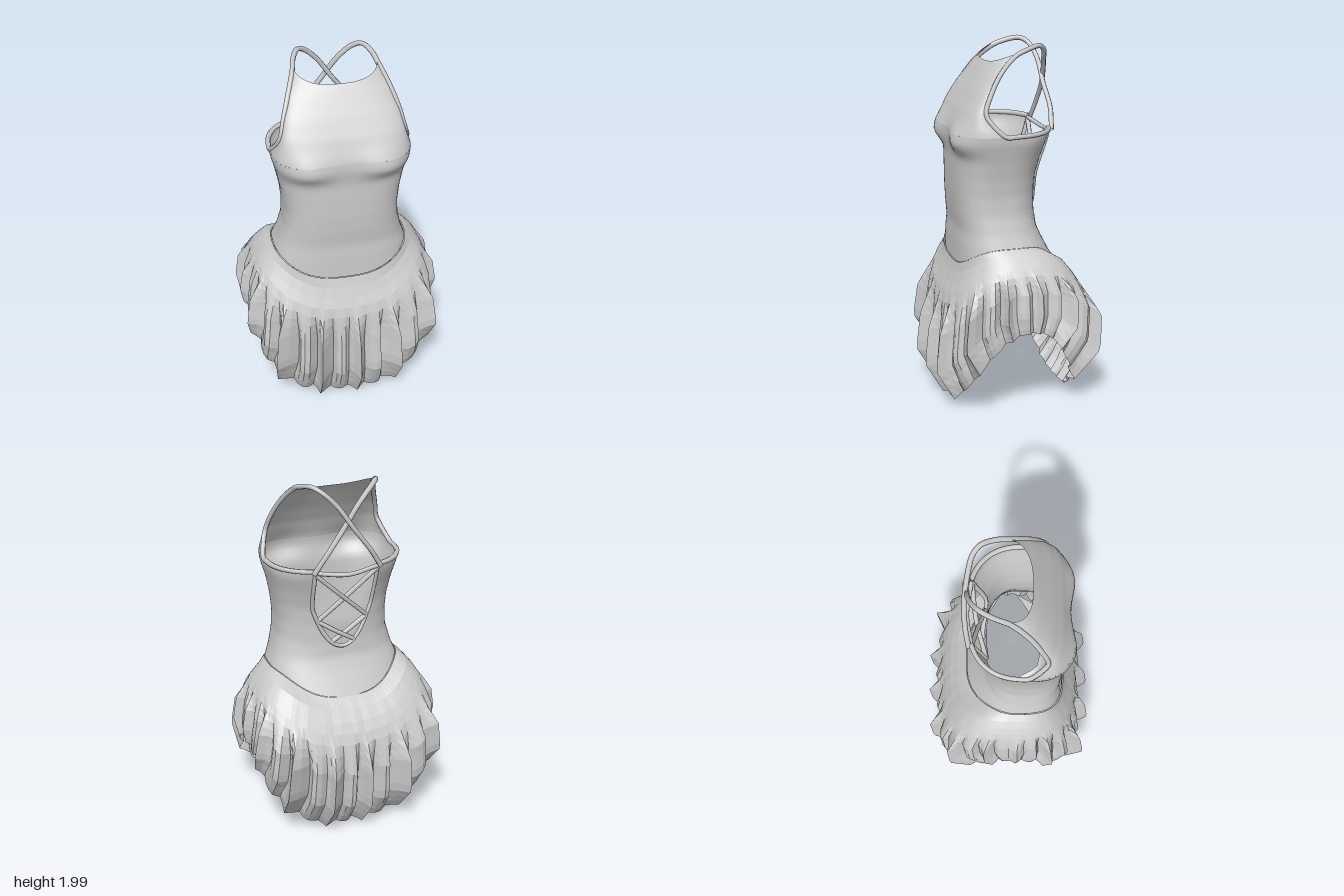
import * as THREE from 'three';

const { abs, sin, cos, PI, pow, atan, min, max, sqrt, exp, sign } = Math;
const lerp = THREE.MathUtils.lerp;
const smooth = THREE.MathUtils.smoothstep;

// Row lookup: table rows are [key, ...values], linearly interpolated
function look(table, k) {
  let i = 0;
  while (i < table.length - 2 && table[i + 1][0] < k) i++;
  const a = table[i], b = table[i + 1];
  const t = min(1, max(0, (k - a[0]) / (b[0] - a[0])));
  return a.slice(1).map((v, j) => lerp(v, b[j + 1], t));
}

// Surface from a rule fn(u, v) -> [x, y, z], u and v in 0..1
function surface(nu, nv, fn) {
  const pos = [], idx = [];
  for (let j = 0; j <= nv; j++)
    for (let i = 0; i <= nu; i++) pos.push(...fn(i / nu, j / nv));
  for (let j = 0; j < nv; j++)
    for (let i = 0; i < nu; i++) {
      const a = j * (nu + 1) + i, b = a + nu + 1;
      idx.push(a, a + 1, b, a + 1, b + 1, b);
    }
  const g = new THREE.BufferGeometry();
  g.setAttribute('position', new THREE.Float32BufferAttribute(pos, 3));
  g.setIndex(idx);
  g.computeVertexNormals();
  return g;
}

// Rounded-box cross-section; angle 0 is the front, PI the back
function section(a, [W, E, F, B], n) {
  const s = sin(a), c = cos(a);
  const r = pow(pow(abs(s), n) + pow(abs(c), n), -1 / n);
  return [W * s * r, E + (c > 0 ? F - E : E - B) * c * r];
}
// 1 across the front and back, 0 at the sides
const facing = (a, n) => abs(section(a, [1, 0, 1, -1], n)[1]);

// y, half width, z of the widest point, front z, back z
const BODY = [
  [0.78, 0.40, 0.04, 0.315, -0.25], [0.93, 0.37, 0.05, 0.31, -0.17],
  [1.0, 0.345, 0.07, 0.305, -0.14], [1.1, 0.32, 0.09, 0.315, -0.13],
  [1.2, 0.315, 0.09, 0.32, -0.13], [1.3, 0.325, 0.09, 0.32, -0.138],
  [1.4, 0.345, 0.09, 0.318, -0.168], [1.5, 0.37, 0.08, 0.33, -0.205],
  [1.55, 0.373, 0.1, 0.325, -0.215], [1.6, 0.35, 0.165, 0.305, -0.22],
  [1.66, 0.328, 0.2, 0.28, -0.22], [1.75, 0.305, 0.17, 0.228, -0.22],
  [1.86, 0.265, 0.1, 0.155, -0.22], [1.95, 0.222, 0, 0.09, -0.22],
];
const bodyN = (a, y) => cos(a) > 0
  ? lerp(3.1 + 0.6 * smooth(y, 1.4, 1.52), 2.1, smooth(y, 1.6, 1.9)) : 2.5;

function body(a, y) {
  let [x, z] = section(a, look(BODY, y), bodyN(a, y));
  if (cos(a) > 0) { // bust, fuller below than above
    const dy = (y - 1.485) / (y < 1.485 ? 0.05 : 0.11);
    z += 0.035 * exp(-pow((abs(x) - 0.21) / 0.12, 2) - dy * dy);
  }
  return [x, y, z];
}

const RIM = 1.54;
const seam = a => 0.93 - 0.13 * pow(facing(a, 2.7), 4);
// Half angle of the laced opening in the back
const opening = y => y < 1.06 ? 0 : atan(0.19 * sqrt(min(1, (y - 1.06) / 0.25)) / look(BODY, y)[0]);

// t down the skirt, half width, centre z, front z, back z, squareness
const SKIRT = [
  [0, 0.38, 0.04, 0.315, -0.25, 2.7], [0.13, 0.435, 0.03, 0.355, -0.335, 2.7],
  [0.26, 0.48, 0.02, 0.4, -0.395, 2.9], [0.49, 0.545, 0, 0.465, -0.48, 4],
  [0.77, 0.565, 0, 0.49, -0.465, 4.2], [1, 0.545, 0, 0.385, -0.31, 4],
];
// Large and small pleats alternate
const PLEATS = 32, SIDES = 4;
const rand = i => { const v = sin(i * 127.1 + 11.7) * 43758.5; return v - Math.floor(v); };

function skirt(u, v) {
  const t = 1 - v, a = (u * 2 - 1) * PI;
  if (t === 0) {
    const [x, y, z] = body(a, seam(a));
    return [x * 1.012, y, z * 1.012];
  }
  const k = Math.round(u * PLEATS * SIDES) % (PLEATS * SIDES);
  const id = Math.floor(k / SIDES), phase = k % SIDES;
  const peak = id % 2 ? 0.5 : 0;
  const depth = [1, 0.65, peak, 0.55][phase] * (0.75 + 0.4 * rand(id));
  const row = look(SKIRT, t);
  const [x, z] = section(a, row, row[4]);
  const s = facing(a, 3);
  const fold = smooth(t, 0.2, 0.55) * (1 - 0.5 * smooth(t, 0.75, 1));
  const f = 1 - (0.08 + 0.12 * s) * fold * depth;
  const hem = 0.5 - 0.49 * pow(s, 2.3) + 0.025 * depth * s;
  return [x * f, lerp(seam(a), hem, t), z * f];
}

// Under-panel from the front waist through the legs: t, z, y, half width
const BRIEF = [
  [0, 0.30, 0.8, 0.375], [0.15, 0.28, 0.62, 0.25], [0.33, 0.18, 0.41, 0.075],
  [0.47, 0.05, 0.35, 0.028], [0.58, -0.08, 0.335, 0.033], [0.7, -0.19, 0.38, 0.08],
  [0.85, -0.27, 0.62, 0.26], [1, -0.235, 0.8, 0.375],
];
function brief(u, v) {
  const [z, y, w] = look(BRIEF, 1 - v), s = u * 2 - 1;
  const wrap = pow(w / 0.375, 2) * pow(abs(s), 4);
  return [s * w, y + 0.08 * wrap + 0.02 * s * s * (1 - w / 0.375), z * (1 - 0.85 * wrap)];
}

export function createModel() {
  const model = new THREE.Group();
  const cloth = new THREE.MeshStandardMaterial({ color: 0xcccccc, side: THREE.DoubleSide });
  const pleated = new THREE.MeshStandardMaterial({ color: 0xcccccc, side: THREE.DoubleSide, flatShading: true });
  const add = (name, geo, mat = cloth, parent = model) => {
    const m = new THREE.Mesh(geo, mat);
    m.name = name;
    parent.add(m);
  };
  const cord = (name, pts, r, parent) => {
    const curve = new THREE.CatmullRomCurve3(pts.map(p => new THREE.Vector3(...p)));
    add(name, new THREE.TubeGeometry(curve, pts.length * 5, r, 6), cloth, parent);
  };

  // Bodice up to the underarms, split at the back by the opening
  add('bodice', surface(64, 30, (u, v) => {
    const s = u * 2 - 1, y = lerp(seam(s * PI), RIM, v);
    return body(s * (PI - opening(y)), y);
  }));

  // Chest panel narrowing to the neckline
  const neckline = a => 1.9 + 0.05 * pow(abs(sin(a)), 3);
  add('chestPanel', surface(32, 18, (u, v) => {
    const a = (u - 0.5) * PI;
    return body(a, lerp(RIM, neckline(a), v));
  }));

  // Skirt with smooth yoke and pleats, and the panel beneath
  add('pleatedSkirt', surface(PLEATS * SIDES, 14, skirt), pleated);
  add('underPanel', surface(16, 28, brief));

  // Straps crossing the back, running on as armhole trim
  const straps = new THREE.Group();
  straps.name = 'straps';
  model.add(straps);
  for (const s of [-1, 1]) {
    const pts = [
      [-0.19, 1.53, -0.205], [-0.12, 1.64, -0.22], [-0.03, 1.76, -0.215 - 0.006 * s],
      [0.06, 1.89, -0.2], [0.13, 1.96, -0.175], [0.175, 1.985, -0.135], [0.21, 1.97, -0.06],
    ];
    for (const y of [1.94, 1.86, 1.75, 1.66, 1.6]) pts.push(body(PI / 2, y));
    for (let i = 0; i <= 8; i++) pts.push(body(lerp(PI / 2, PI - opening(RIM), i / 8), RIM));
    cord('strapAndArmholeTrim', pts.map(([x, y, z]) => [x * s, y, z]), 0.014, straps);
  }

  // Edge of the back opening, top band and criss-cross laces
  const lacing = new THREE.Group();
  lacing.name = 'backLacing';
  model.add(lacing);
  const edge = (s, y) => body(s * (PI - opening(y)), y);
  const rim = [];
  for (let i = -10; i <= 10; i++) rim.push(edge(sign(i) || 1, 1.06 + 0.48 * pow(i / 10, 2)));
  cord('openingTrim', rim, 0.012, lacing);
  cord('topBand', [edge(-1, 1.53), [0, 1.51, -0.215], edge(1, 1.53)], 0.013, lacing);
  const rows = [1.09, 1.22, 1.52];
  for (let i = 0; i < rows.length - 1; i++)
    for (const s of [-1, 1]) {
      const a = edge(s, rows[i]), b = edge(-s, rows[i + 1]);
      const mid = [(a[0] + b[0]) / 2, (a[1] + b[1]) / 2, (a[2] + b[2]) / 2 - 0.01 + 0.005 * s];
      cord('lace', [a, mid, b], 0.013, lacing);
    }
  return model;
}
